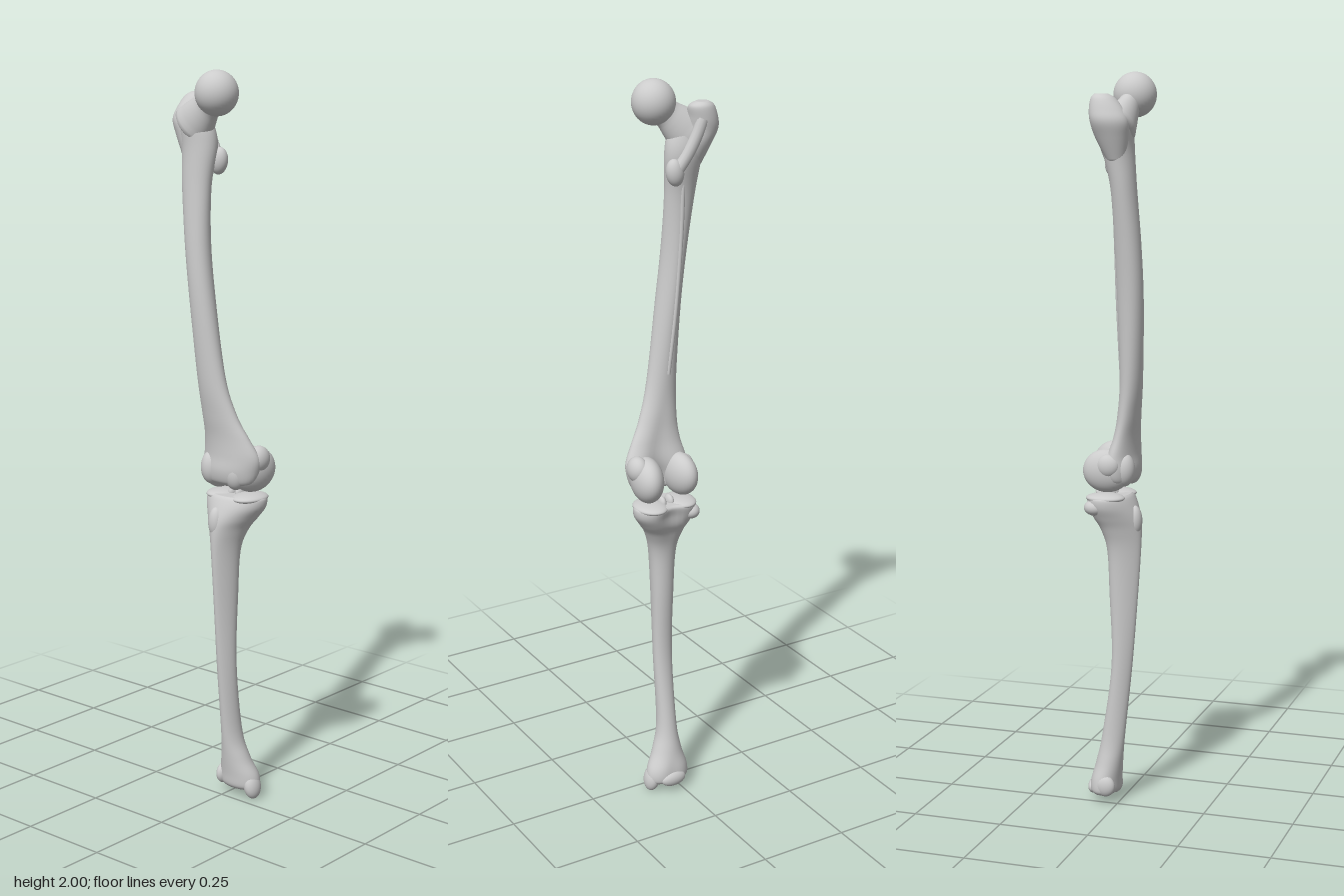
import * as THREE from 'three';

const material = new THREE.MeshStandardMaterial({ color: 0xcccccc });

function add(group, name, geometry) {
  const mesh = new THREE.Mesh(geometry, material);
  mesh.name = name;
  group.add(mesh);
  return mesh;
}

// Catmull-Rom blend of four neighbouring values
function blend(a, b, c, d, t) {
  const cubic = 3 * (b - c) + d - a;
  const square = 2 * a - 5 * b + 4 * c - d;
  return b + 0.5 * t * (c - a + t * (square + t * cubic));
}

// Smooth skin over horizontal sections, listed from the top down:
// [y, xMin, xMax, zBack, zFront, back notch depth, narrowing towards the front]
function loft(rows, sides = 40, steps = 6) {
  const rings = [];
  for (let i = 0; i < rows.length - 1; i++) {
    const [a, b, c, d] = [-1, 0, 1, 2].map(k => rows[THREE.MathUtils.clamp(i + k, 0, rows.length - 1)]);
    for (let s = 0; s < steps; s++) {
      rings.push(b.map((v, k) => blend(a[k], v, c[k], d[k], s / steps)));
    }
  }
  rings.push(rows[rows.length - 1]);

  const pos = [], index = [];
  const ring = ([y, x0, x1, z0, z1, notch, tri], scale) => {
    for (let j = 0; j < sides; j++) {
      const a = j / sides * Math.PI * 2, co = Math.cos(a), si = Math.sin(a);
      const dent = si < 0 ? -si * notch * Math.exp(-((co / 0.4) ** 2)) : 0;
      pos.push((x0 + x1) / 2 + scale * (x1 - x0) / 2 * co * (1 - tri * si),
        y, (z0 + z1) / 2 + scale * (z1 - z0) / 2 * (si + dent));
    }
  };
  ring(rings[0], 0.001);
  rings.forEach(r => ring(r, 1));
  ring(rings[rings.length - 1], 0.001);
  for (let i = 0; i < rings.length + 1; i++) {
    for (let j = 0; j < sides; j++) {
      const n = (j + 1) % sides, p = i * sides, q = p + sides;
      index.push(p + j, p + n, q + j, p + n, q + n, q + j);
    }
  }
  const g = new THREE.BufferGeometry();
  g.setAttribute('position', new THREE.Float32BufferAttribute(pos, 3));
  g.setIndex(index);
  g.computeVertexNormals();
  return g;
}

// Rounded lump: centre, radii and rotation
function lump(group, name, centre, radii, rotation = [0, 0, 0]) {
  const mesh = add(group, name, new THREE.SphereGeometry(1, 36, 24));
  mesh.position.set(...centre);
  mesh.scale.set(...radii);
  mesh.rotation.set(...rotation);
}

// Rounded ridge along a path
function ridge(group, name, points, radius) {
  const path = new THREE.CatmullRomCurve3(points.map(p => new THREE.Vector3(...p)));
  add(group, name, new THREE.TubeGeometry(path, 24, radius, 12));
}

function createFemur() {
  const femur = new THREE.Group();
  femur.name = 'femur';

  add(femur, 'femurShaft', loft([
    [1.90, -0.115, -0.045, -0.005, 0.055, 0, 0],
    [1.86, -0.125, -0.015, -0.015, 0.065, 0, 0],
    [1.80, -0.108, -0.004, -0.018, 0.064, 0, 0],
    [1.70, -0.096, -0.012, 0.002, 0.070, 0, -0.05],
    [1.55, -0.076, -0.008, 0.008, 0.079, 0, -0.15],
    [1.40, -0.059, 0.010, 0.010, 0.080, 0, -0.15],
    [1.20, -0.043, 0.042, 0.010, 0.070, 0, -0.05],
    [1.10, -0.038, 0.074, 0.000, 0.058, 0.1, 0],
    [1.04, -0.040, 0.106, -0.012, 0.050, 0.25, 0.1],
    [0.99, -0.050, 0.130, -0.030, 0.049, 0.5, 0.15],
    [0.95, -0.056, 0.126, -0.040, 0.052, 0.8, 0.12],
    [0.92, -0.048, 0.112, -0.030, 0.045, 0.8, 0.05],
    [0.907, -0.025, 0.085, -0.005, 0.030, 0.5, 0],
  ]));

  // Ball and tapering neck of the hip
  lump(femur, 'femoralHead', [0.02, 1.941, 0.043], [0.057, 0.059, 0.057]);
  const neckStart = new THREE.Vector3(-0.085, 1.845, 0.025);
  const neckEnd = new THREE.Vector3(0.02, 1.941, 0.043);
  const axis = neckEnd.clone().sub(neckStart).normalize();
  const profile = [[0.001, 0], [0.058, 0.01], [0.055, 0.04], [0.046, 0.07], [0.039, 0.095], [0.041, 0.12], [0.045, 0.14]];
  const curve = new THREE.SplineCurve(profile.map(p => new THREE.Vector2(...p)));
  const neck = add(femur, 'femoralNeck', new THREE.LatheGeometry(curve.getPoints(20), 32));
  neck.position.copy(neckStart);
  neck.quaternion.setFromUnitVectors(new THREE.Vector3(0, 1, 0), axis);
  neck.scale.z = 0.75;

  // Bony processes below the hip
  add(femur, 'greaterTrochanter', loft([
    [1.942, -0.108, -0.075, -0.030, 0.005, 0, 0],
    [1.930, -0.125, -0.058, -0.040, 0.025, 0, 0],
    [1.900, -0.137, -0.060, -0.042, 0.050, 0, 0.1],
    [1.870, -0.142, -0.060, -0.038, 0.063, 0, 0.1],
    [1.830, -0.128, -0.050, -0.028, 0.060, 0, 0],
    [1.770, -0.103, -0.050, 0.000, 0.050, 0, 0],
  ]));
  lump(femur, 'lesserTrochanter', [-0.014, 1.765, -0.006], [0.024, 0.036, 0.022], [0, 0, -0.15]);
  ridge(femur, 'trochantericCrest',
    [[-0.085, 1.90, -0.026], [-0.07, 1.86, -0.022], [-0.045, 1.81, -0.016], [-0.016, 1.765, -0.008]], 0.016);
  ridge(femur, 'backRidge',
    [[-0.045, 1.74, 0.004], [-0.043, 1.60, 0.010], [-0.028, 1.40, 0.012], [-0.006, 1.22, 0.014]], 0.006);

  // Knee condyles, side bumps and kneecap groove lips
  lump(femur, 'medialCondyle', [0.086, 0.950, -0.028], [0.043, 0.062, 0.070], [0, -0.2, 0]);
  lump(femur, 'lateralCondyle', [-0.020, 0.946, -0.022], [0.038, 0.059, 0.066], [0, 0.1, 0]);
  lump(femur, 'medialEpicondyle', [0.110, 0.982, -0.022], [0.028, 0.036, 0.036]);
  lump(femur, 'lateralEpicondyle', [-0.042, 0.962, -0.012], [0.022, 0.032, 0.032]);
  lump(femur, 'lateralGrooveLip', [-0.014, 0.950, 0.024], [0.030, 0.046, 0.030]);
  lump(femur, 'medialGrooveLip', [0.066, 0.942, 0.020], [0.032, 0.044, 0.028]);
  return femur;
}

function createTibia() {
  const tibia = new THREE.Group();
  tibia.name = 'tibia';

  add(tibia, 'tibiaShaft', loft([
    [0.876, -0.050, 0.112, -0.082, 0.026, 0.35, 0],
    [0.868, -0.060, 0.122, -0.092, 0.034, 0.35, 0],
    [0.845, -0.058, 0.119, -0.088, 0.046, 0.35, 0.1],
    [0.815, -0.044, 0.098, -0.074, 0.057, 0.2, 0.2],
    [0.780, -0.028, 0.074, -0.052, 0.062, 0.1, 0.3],
    [0.720, -0.014, 0.056, -0.033, 0.061, 0, 0.35],
    [0.600, -0.008, 0.050, -0.027, 0.053, 0, 0.35],
    [0.400, -0.005, 0.047, -0.021, 0.037, 0, 0.3],
    [0.200, -0.006, 0.048, -0.048, 0.016, 0, 0.12],
    [0.120, -0.016, 0.068, -0.066, 0.007, 0, 0],
    [0.070, -0.028, 0.092, -0.082, 0.001, 0.1, 0],
    [0.040, -0.030, 0.096, -0.084, -0.002, 0.1, 0],
    [0.028, -0.022, 0.088, -0.076, -0.010, 0.1, 0],
  ]));

  // Shallow joint plates with the central spines between them
  lump(tibia, 'medialPlateau', [0.076, 0.870, -0.028], [0.044, 0.014, 0.058]);
  lump(tibia, 'lateralPlateau', [-0.016, 0.870, -0.028], [0.042, 0.014, 0.054]);
  for (const x of [0.018, 0.042]) {
    lump(tibia, 'centralSpine', [x, 0.876, -0.030], [0.011, 0.019, 0.020]);
  }
  lump(tibia, 'tibialTuberosity', [0.018, 0.805, 0.044], [0.022, 0.042, 0.021]);
  lump(tibia, 'lateralFacet', [-0.034, 0.845, -0.052], [0.026, 0.022, 0.030]);

  // Ankle end
  lump(tibia, 'medialMalleolus', [0.080, 0.038, -0.038], [0.021, 0.037, 0.028], [0, 0, 0.2]);
  lump(tibia, 'backAnkleLip', [0.030, 0.040, -0.074], [0.038, 0.022, 0.017]);
  lump(tibia, 'lateralAnkleLip', [-0.016, 0.055, -0.030], [0.017, 0.030, 0.028]);
  return tibia;
}

export function createModel() {
  const model = new THREE.Group();
  model.name = 'legBones';
  model.add(createFemur(), createTibia());
  return model;
}
